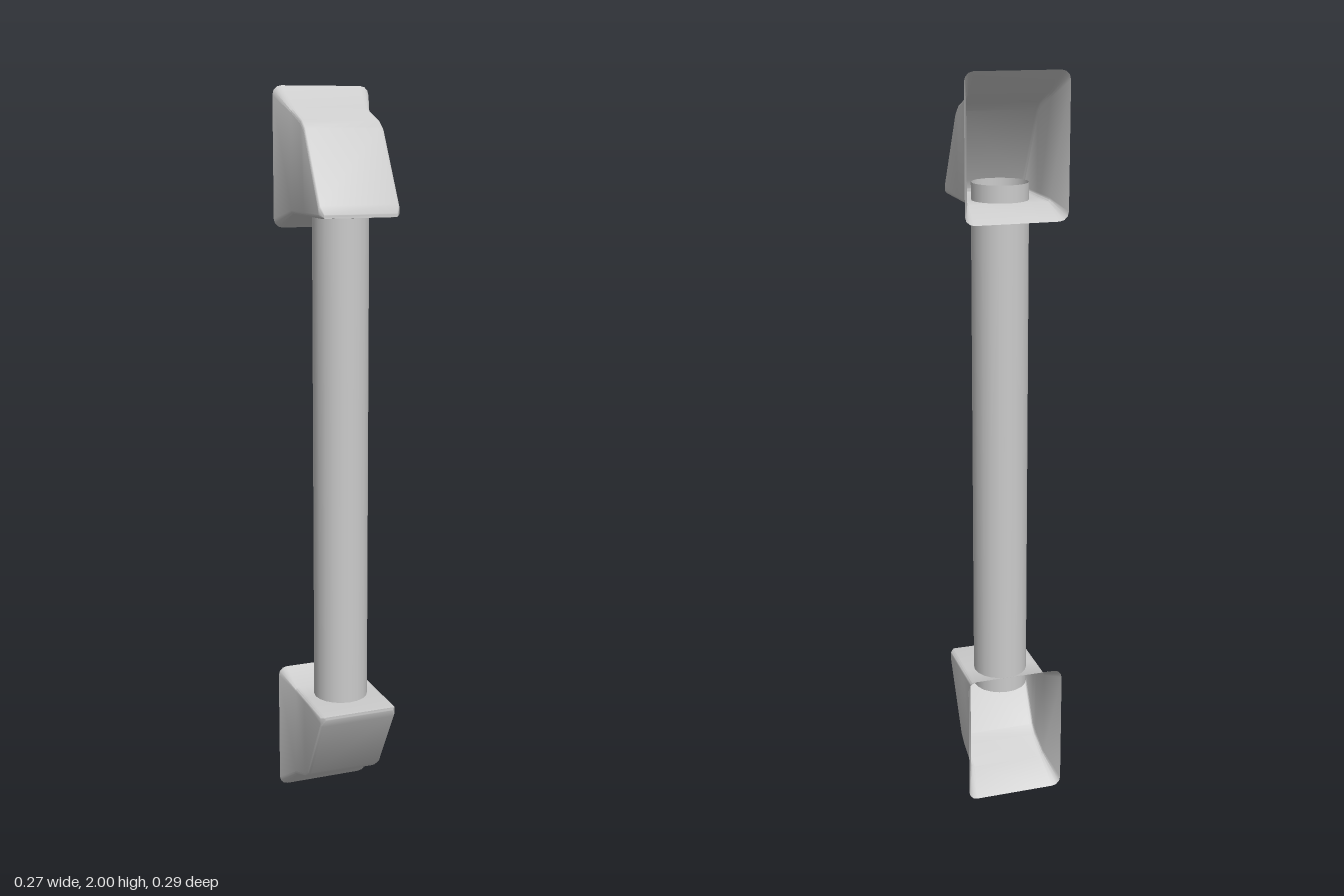
import * as THREE from 'three';
import { toCreasedNormals } from 'three/addons/utils/BufferGeometryUtils.js';

const material = new THREE.MeshStandardMaterial({ color: 0xcccccc, side: THREE.DoubleSide });

// Hollow bracket, back to front: [z, half width, bottom, top, corner radius], y from the model's middle
const SECTIONS = [
  [-0.147, 0.136, 0.63, 1.0, 0.024],
  [-0.075, 0.11, 0.67, 0.94, 0.01],
  [0.0, 0.11, 0.67, 0.912, 0.01],
  [0.026, 0.11, 0.67, 0.892, 0.01],
  [0.135, 0.11, 0.67, 0.703, 0.01],
  [0.147, 0.1, 0.671, 0.681, 0.003],
];
const STEPS = 3;

// Rounded rectangle, counter-clockwise seen from the front
function ring([z, w, bottom, top, r]) {
  const corners = [[w - r, top - r], [r - w, top - r], [r - w, bottom + r], [w - r, bottom + r]];
  return corners.flatMap(([x, y], k) =>
    Array.from({ length: STEPS + 1 }, (_, s) => {
      const a = (k + s / STEPS) * Math.PI / 2;
      return [x + r * Math.cos(a), y + r * Math.sin(a), z];
    }));
}

function bracketGeometry() {
  const rings = SECTIONS.map(ring);
  const n = rings[0].length;
  const index = [];
  for (let i = 0; i < rings.length - 1; i++) {
    for (let j = 0; j < n; j++) {
      const a = i * n + j, b = i * n + (j + 1) % n;
      index.push(a, b, b + n, a, b + n, a + n);
    }
  }
  // narrow front lip; the back stays open
  const last = (rings.length - 1) * n;
  for (let j = 1; j < n - 1; j++) index.push(last, last + j, last + j + 1);
  const geometry = new THREE.BufferGeometry();
  geometry.setAttribute('position', new THREE.Float32BufferAttribute(rings.flat(2), 3));
  geometry.setIndex(index);
  return toCreasedNormals(geometry, 0.7);
}

export function createModel() {
  const model = new THREE.Group();
  model.name = 'barHandle';

  // Open tube whose ends reach into the brackets
  const bar = new THREE.Mesh(new THREE.CylinderGeometry(0.075, 0.075, 1.43, 20, 1, true), material);
  bar.name = 'bar';
  bar.position.y = 1;
  model.add(bar);

  // Matching brackets, the lower one turned upside down
  const geometry = bracketGeometry();
  for (const [name, turn] of [['upperBracket', 0], ['lowerBracket', Math.PI]]) {
    const bracket = new THREE.Mesh(geometry, material);
    bracket.name = name;
    bracket.position.y = 1;
    bracket.rotation.z = turn;
    model.add(bracket);
  }
  return model;
}
